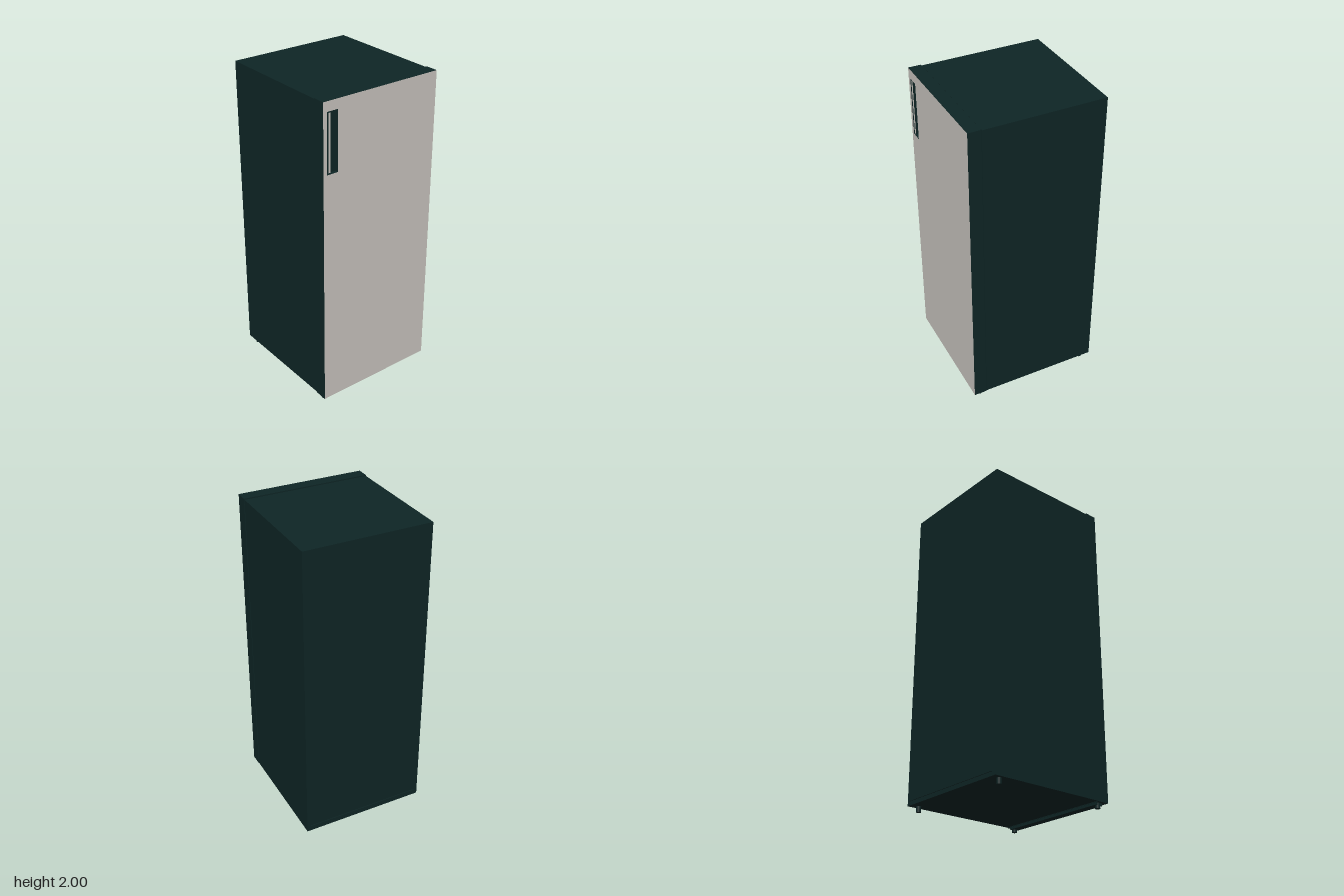
import * as THREE from 'three';

export function createModel() {
  const model = new THREE.Group();
  model.name = 'refrigerator';
  const dark = new THREE.MeshStandardMaterial({ color: 0x0e2525 });
  dark.name = 'dark casing';
  const light = new THREE.MeshStandardMaterial({ color: 0xcac6c0 });
  light.name = 'light door face';

  const add = (name, geometry, material, x = 0, y = 0, z = 0) => {
    const mesh = new THREE.Mesh(geometry, material);
    mesh.name = name;
    mesh.position.set(x, y, z);
    model.add(mesh);
    return mesh;
  };
  // Box given by its limits on each axis
  const box = (name, material, [x0, x1], [y0, y1], [z0, z1]) =>
    add(name, new THREE.BoxGeometry(x1 - x0, y1 - y0, z1 - z0), material,
      (x0 + x1) / 2, (y0 + y1) / 2, (z0 + z1) / 2);
  const trace = (path, x0, x1, y0, y1) => path.moveTo(x0, y0).lineTo(x1, y0)
    .lineTo(x1, y1).lineTo(x0, y1).closePath();

  // Cabinet and the seal behind the door
  box('cabinet', dark, [-0.403, 0.403], [0.035, 1.995], [-0.423, 0.342]);
  box('doorSeal', dark, [-0.395, 0.395], [0.045, 1.985], [0.342, 0.346]);

  // Door with a rectangular handle opening
  const outline = trace(new THREE.Shape(), -0.405, 0.405, 0.033, 2);
  outline.holes.push(trace(new THREE.Path(), -0.38, -0.307, 1.57, 1.94));
  add('door', new THREE.ExtrudeGeometry(outline, { depth: 0.08, bevelEnabled: false }),
    dark, 0, 0, 0.346);
  add('doorFace', new THREE.ShapeGeometry(outline), light, 0, 0, 0.427);

  // Handle pocket and its grip bar
  box('handlePocket', dark, [-0.38, -0.307], [1.57, 1.94], [0.35, 0.405]);
  box('handleGrip', dark, [-0.371, -0.354], [1.578, 1.932], [0.405, 0.424]);
  box('handleGripFace', light, [-0.369, -0.356], [1.58, 1.93], [0.424, 0.426]);

  // Low rail across the back
  box('backRail', dark, [-0.38, 0.38], [0.06, 0.075], [-0.428, -0.423]);

  // Plinth bar and four round feet
  box('plinthBar', dark, [-0.38, 0.38], [0.018, 0.035], [0.348, 0.4]);
  for (const x of [-0.37, 0.366]) {
    for (const z of [0.373, -0.37]) {
      add('foot', new THREE.CylinderGeometry(0.015, 0.015, 0.036, 20), dark, x, 0.018, z);
    }
  }
  return model;
}
